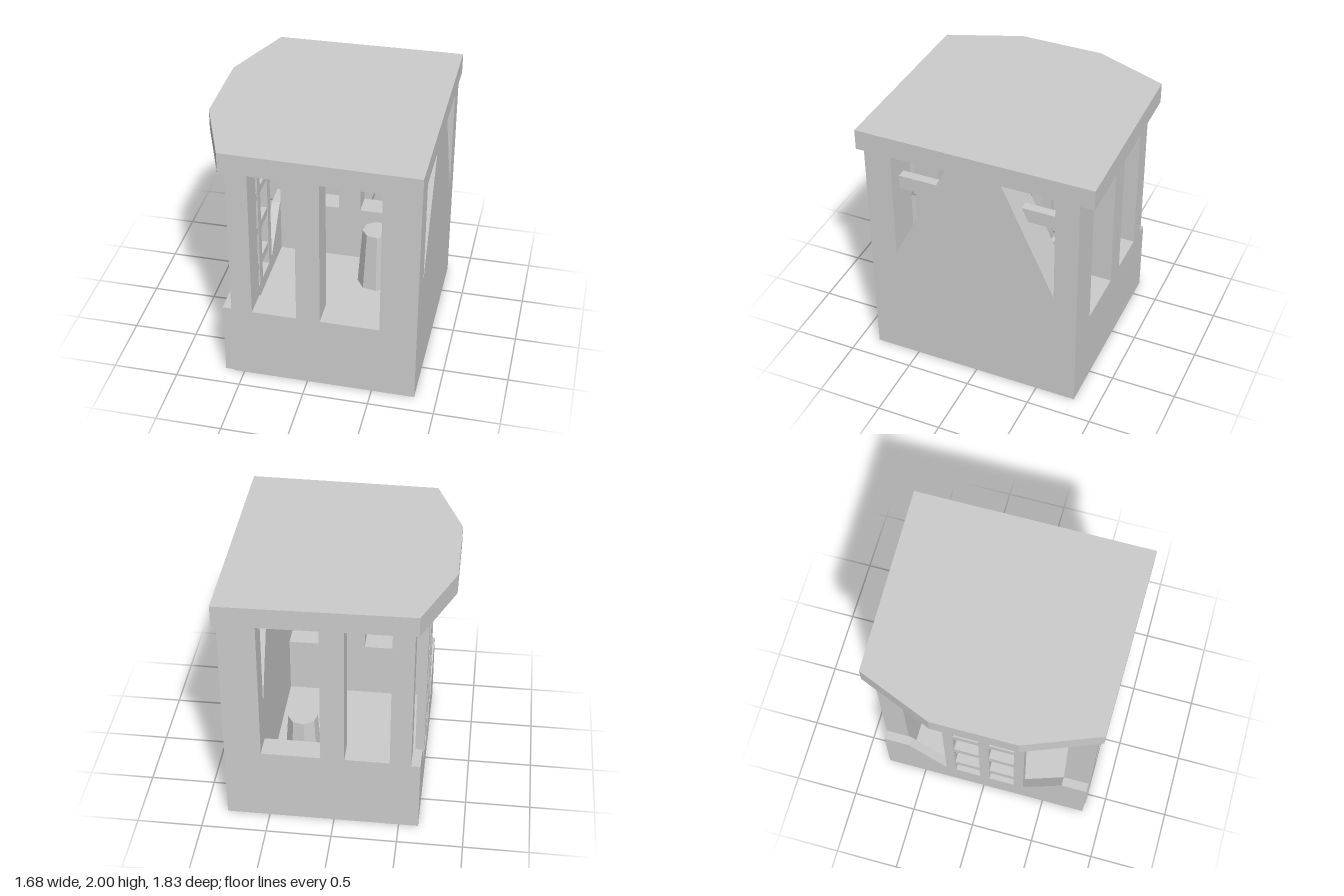
import * as THREE from 'three';

const material = new THREE.MeshStandardMaterial({ color: 0xcccccc, flatShading: true });

export function createModel() {
  const model = new THREE.Group();

  const add = (name, geometry) => {
    const mesh = new THREE.Mesh(geometry, material);
    mesh.name = name;
    model.add(mesh);
    return mesh;
  };

  // Box given by its limits on each axis
  const box = (name, x0, x1, y0, y1, z0, z1) => {
    const mesh = add(name, new THREE.BoxGeometry(x1 - x0, y1 - y0, z1 - z0));
    mesh.position.set((x0 + x1) / 2, (y0 + y1) / 2, (z0 + z1) / 2);
  };

  const extrude = (points, depth) => new THREE.ExtrudeGeometry(
    new THREE.Shape(points.map(([a, b]) => new THREE.Vector2(a, b))),
    { depth, bevelEnabled: false });

  // Side wall drawn as (z, y) outline, filling x0 to x1
  const sideWall = (name, points, x0, x1) =>
    add(name, extrude(points, x1 - x0).rotateY(-Math.PI / 2).translate(x1, 0, 0));

  const eaves = 1.84;

  // Roof slab with clipped corners on one side, drawn as (x, -z)
  add('roof', extrude([
    [-0.62, -0.89], [0.84, -0.91], [0.84, 0.92], [-0.61, 0.89], [-0.84, 0.32], [-0.84, -0.33],
  ], 2 - eaves).rotateX(-Math.PI / 2).translate(0, eaves, 0));

  // Floor
  box('floor', -0.6, 0.6, 0.005, 0.13, -0.7, 0.7);

  // Low front and back walls with three posts each
  for (const [side, z0, z1, top] of [['front', 0.64, 0.85, 0.6], ['back', -0.81, -0.63, 0.61]]) {
    box(side + 'Wall', -0.58, 0.83, 0, top, z0, z1);
    for (const [x0, x1] of [[-0.58, -0.42], [-0.08, 0.1], [0.55, 0.83]]) {
      box(side + 'Post', x0, x1, top, eaves, z0, z1);
    }
  }

  // Thick tapered end wall, braced to the corner posts
  sideWall('endWall', [
    [-0.63, 0], [0.64, 0], [0.64, 0.96], [0.21, eaves], [-0.22, eaves], [-0.63, 0.95],
  ], 0.55, 0.83);
  box('frontBrace', 0.65, 0.72, 1.49, 1.6, 0.25, 0.66);
  box('backBrace', 0.65, 0.72, 1.49, 1.6, -0.65, -0.25);

  // Thin notched wall opposite
  sideWall('notchedWall', [
    [-0.81, 0], [0.84, 0], [0.84, 0.6], [0.64, 0.6], [0.33, 0.25], [-0.31, 0.25], [-0.61, 0.6], [-0.81, 0.6],
  ], -0.65, -0.58);

  // Window lattice: three rails and four rows of rungs
  for (const z of [-0.27, 0.01, 0.29]) {
    box('latticeRail', -0.65, -0.58, 0.25, eaves, z - 0.04, z + 0.04);
  }
  for (const y of [0.43, 0.77, 1.1, 1.43]) {
    box('latticeRung', -0.645, -0.585, y - 0.035, y + 0.035, -0.25, 0.27);
  }

  // Faceted pedestal inside
  add('pedestal', new THREE.CylinderGeometry(0.115, 0.15, 0.505, 8).rotateY(0.2))
    .position.set(0.295, 0.3825, -0.35);

  return model;
}
